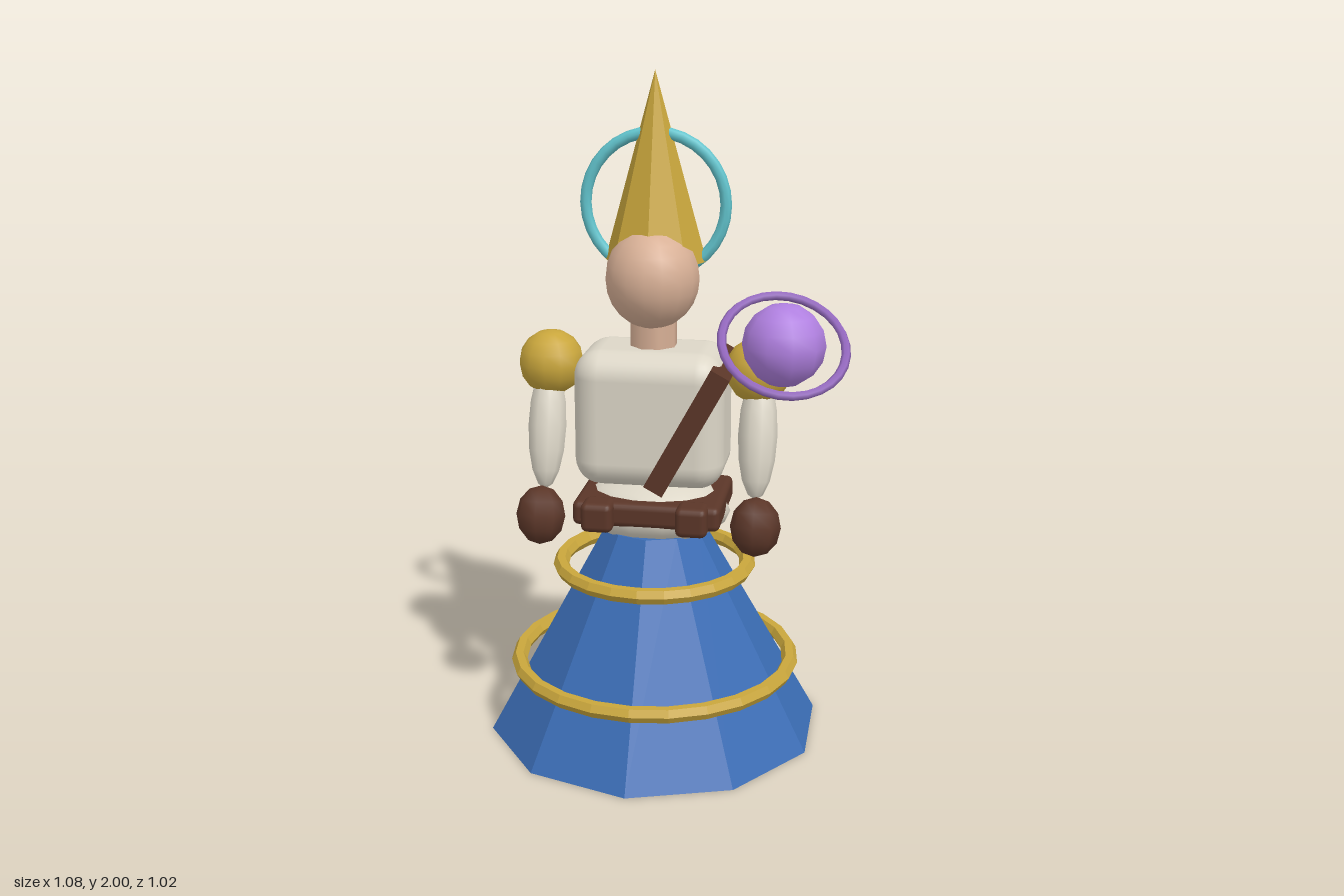
import * as THREE from 'three';
import { RoundedBoxGeometry } from 'three/addons/geometries/RoundedBoxGeometry.js';

export function createModel() {
  const mat = (name, color, flatShading = false) => {
    const m = new THREE.MeshStandardMaterial({ color, flatShading });
    m.name = name;
    return m;
  };
  const blue = mat('blue cloth', 0x3b6db5, true);
  const gold = mat('gold', 0xc9a63c);
  const flatGold = mat('faceted gold', 0xc9a63c, true);
  const linen = mat('linen', 0xdcd6c7);
  const leather = mat('leather', 0x5b3628);
  const skin = mat('skin', 0xd8b096);
  const cyan = mat('pale cyan', 0x62c4cd);
  const violet = mat('violet', 0xb080e0);
  const darkViolet = mat('dark violet', 0x9468bf);

  const model = new THREE.Group();
  const body = new THREE.Group();
  body.name = 'figure';
  body.position.x = -0.055;
  model.add(body);

  const add = (parent, name, geometry, material, x, y, z) => {
    const mesh = new THREE.Mesh(geometry, material);
    mesh.name = name;
    mesh.position.set(x, y, z);
    parent.add(mesh);
    return mesh;
  };
  const ball = (rx, ry, rz, w = 12, h = 8) => new THREE.SphereGeometry(1, w, h).scale(rx, ry, rz);

  // Skirt with two floating hoops
  add(body, 'skirt', new THREE.CylinderGeometry(0.15, 0.51, 0.65, 10), blue, 0, 0.325, 0);
  for (const [name, radius, y] of [['lowerHoop', 0.42, 0.22], ['upperHoop', 0.285, 0.53]]) {
    const hoop = new THREE.TorusGeometry(radius, 0.024, 6, 24).rotateX(Math.PI / 2);
    add(body, name, hoop, flatGold, 0, y, 0);
  }

  // Hips, belt and pouches
  add(body, 'hips', ball(0.232, 0.1, 0.165, 14, 8), linen, 0, 0.705, 0);
  add(body, 'belt', new RoundedBoxGeometry(0.44, 0.075, 0.33, 2, 0.02), leather, 0, 0.727, 0);
  for (const s of [-1, 1])
    add(body, 'pouch', new RoundedBoxGeometry(0.095, 0.09, 0.09, 2, 0.02), leather, s * 0.14, 0.727, 0.16);

  // Torso and the diagonal strap around it
  add(body, 'torso', new RoundedBoxGeometry(0.445, 0.41, 0.3, 4, 0.08), linen, 0, 1.005, 0.005);
  const strap = add(body, 'strap', new THREE.BoxGeometry(0.062, 0.41, 0.33), leather, 0.121, 0.987, 0);
  strap.rotation.z = -0.5;

  // Arms
  for (const s of [-1, 1]) {
    const arm = new THREE.Group();
    arm.name = s > 0 ? 'leftArm' : 'rightArm';
    body.add(arm);
    add(arm, 'shoulder', ball(0.098, 0.098, 0.098), gold, s * 0.31, 1.145, 0);
    const sleeve = add(arm, 'sleeve', ball(0.058, 0.19, 0.062, 10, 8), linen, s * 0.316, 0.96, 0.047);
    sleeve.rotation.x = -0.25;
    const hand = add(arm, 'hand', ball(0.075, 0.088, 0.075, 8, 6), leather, s * 0.322, 0.705, 0.13);
    hand.rotation.x = -0.25;
  }

  // Neck and head
  const neck = add(body, 'neck', new THREE.CylinderGeometry(0.07, 0.07, 0.2, 8), skin, 0, 1.25, 0);
  neck.rotation.y = Math.PI / 8;
  add(body, 'head', ball(0.138, 0.15, 0.145, 16, 12), skin, 0, 1.415, 0.02);

  // Pointed hat and halo ring
  add(body, 'hat', new THREE.ConeGeometry(0.15, 0.545, 8), flatGold, 0, 1.7275, -0.035);
  add(body, 'halo', new THREE.TorusGeometry(0.206, 0.017, 8, 32), cyan, 0, 1.62, -0.035);

  // Floating orb with a tilted ring
  const orb = new THREE.Group();
  orb.name = 'floatingOrb';
  orb.position.set(0.356, 1.3, 0.306);
  model.add(orb);
  add(orb, 'orb', ball(0.115, 0.115, 0.115, 10, 8), violet, 0, 0, 0);
  const ring = add(orb, 'orbRing', new THREE.TorusGeometry(0.171, 0.013, 6, 28), darkViolet, 0, 0, 0);
  ring.rotation.set(-0.92, 0.21, 0);

  return model;
}
